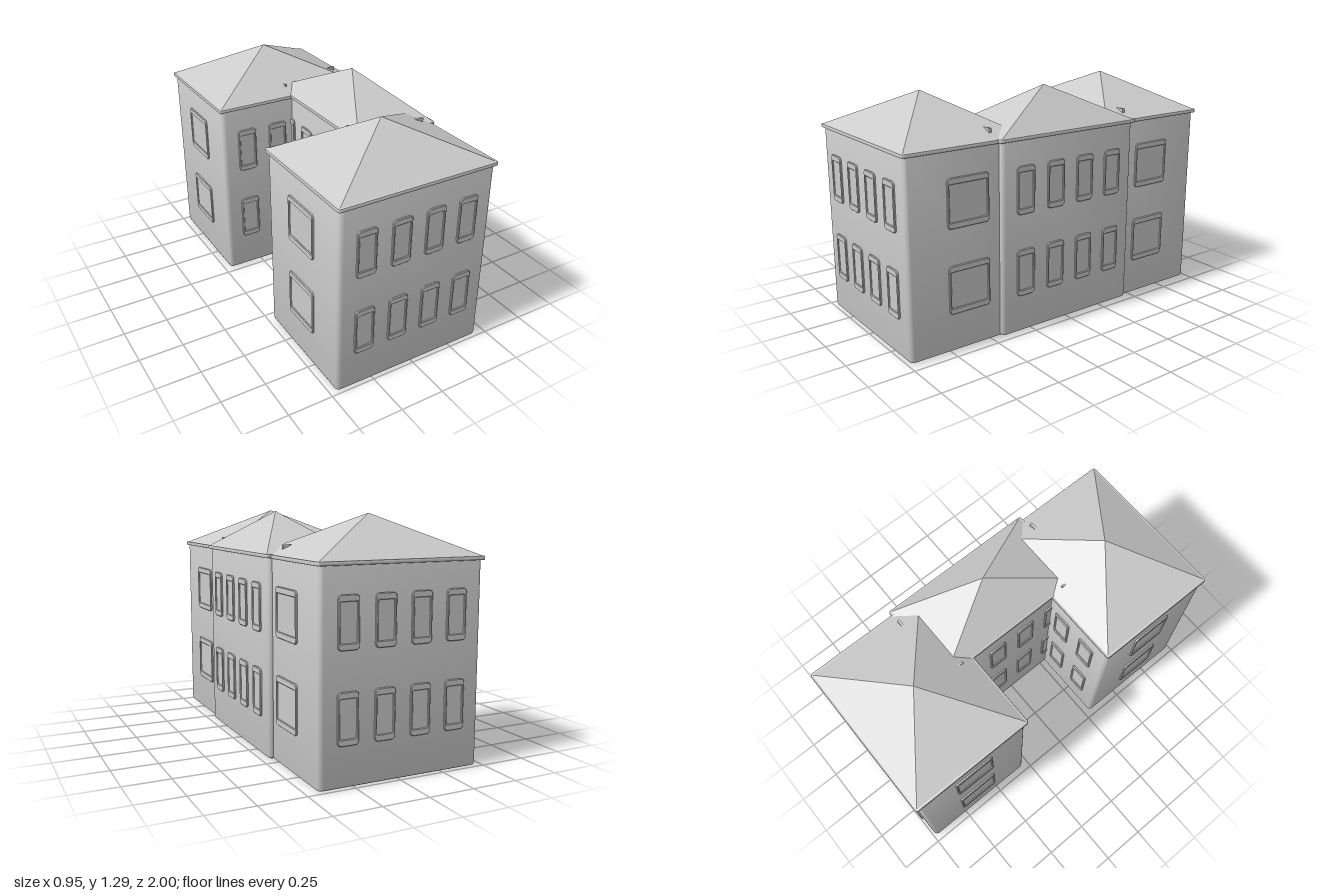
import * as THREE from 'three';
import { toCreasedNormals } from 'three/addons/utils/BufferGeometryUtils.js';

const material = new THREE.MeshStandardMaterial({ color: 0xcccccc });
const ROWS = [0.34, 0.795];      // window centre heights
const EAVE = 1.075, APEX = 1.287;

function part(name, geometry, parent) {
  const mesh = new THREE.Mesh(geometry, material);
  mesh.name = name;
  parent.add(mesh);
  return mesh;
}

function roundedRect(w, h, r, Type = THREE.Shape) {
  const s = new Type(), x = w / 2, y = h / 2;
  s.moveTo(-x + r, -y);
  s.lineTo(x - r, -y);
  s.absarc(x - r, -y + r, r, -Math.PI / 2, 0);
  s.lineTo(x, y - r);
  s.absarc(x - r, y - r, r, 0, Math.PI / 2);
  s.lineTo(-x + r, y);
  s.absarc(-x + r, y - r, r, Math.PI / 2, Math.PI);
  s.lineTo(-x, -y + r);
  s.absarc(-x + r, -y + r, r, Math.PI, Math.PI * 1.5);
  return s;
}

// Upright slab with rounded corners and bevelled rims, from y0 to y1
function slab(w, d, y0, y1, r, bevel, inset) {
  const g = new THREE.ExtrudeGeometry(roundedRect(w, d, r), {
    depth: y1 - y0 - 2 * bevel, bevelEnabled: true, bevelThickness: bevel,
    bevelSize: inset, bevelOffset: -inset, bevelSegments: 2, curveSegments: 4,
  });
  g.rotateX(-Math.PI / 2).translate(0, y0 + bevel, 0);
  return toCreasedNormals(g, 0.6);
}

// Raised frame around a recessed pane, facing +z
function windowUnit(w) {
  const group = new THREE.Group();
  group.name = 'window';
  const shape = roundedRect(w, 0.26, 0.02);
  shape.holes.push(roundedRect(w - 0.024, 0.194, 0.002, THREE.Path));
  const frame = new THREE.ExtrudeGeometry(shape, {
    depth: 0.009, bevelEnabled: true, bevelThickness: 0.003, bevelSize: 0.003,
    bevelOffset: -0.003, bevelSegments: 1, curveSegments: 3,
  });
  frame.translate(0, 0, -0.002);
  part('windowFrame', toCreasedNormals(frame, 0.6), group);
  part('windowPane', new THREE.BoxGeometry(w - 0.02, 0.2, 0.006), group);
  return group;
}

// Pavilion with four windows on each long face and one wide one on each end
function block(name, w, d, endWindows) {
  const group = new THREE.Group();
  group.name = name;
  part('walls', slab(w, d, 0, 1.07, 0.025, 0.018, 0.015), group);
  part('eaves', slab(w + 0.025, d + 0.025, 1.058, EAVE + 0.004, 0.015, 0.005, 0.005), group);

  const roof = new THREE.ConeGeometry(Math.SQRT1_2, 1, 4, 1, true).toNonIndexed();
  roof.rotateY(Math.PI / 4).translate(0, 0.5, 0);
  roof.scale(w + 0.016, APEX - EAVE, d + 0.016).translate(0, EAVE, 0);
  roof.computeVertexNormals();
  part('hippedRoof', roof, group);

  for (let side = 0; side < 4; side++) {
    const long = side % 2 === 0;
    if (!long && !endWindows) continue;
    const face = new THREE.Group();
    face.name = long ? 'longFaceWindows' : 'endFaceWindows';
    face.rotation.y = side * Math.PI / 2;
    for (const y of ROWS) for (const x of long ? [-0.3, -0.1, 0.1, 0.3] : [0]) {
      const unit = windowUnit(long ? 0.113 : 0.245);
      unit.position.set(x, y, (long ? d : w) / 2);
      face.add(unit);
    }
    group.add(face);
  }
  return group;
}

export function createModel() {
  const model = new THREE.Group();
  model.name = 'building';

  // Front and back wings
  for (const s of [1, -1]) {
    const wing = block(s > 0 ? 'frontWing' : 'backWing', 0.905, 0.7, true);
    wing.position.set(-0.0125, 0, s * 0.635);
    model.add(wing);

    // Small ends poking out of the wing roofs next to the connecting wing
    const outer = part('roofRidgeEnd', new THREE.BoxGeometry(0.07, 0.06, 0.014), model);
    outer.position.set(0.35, 1.098, s * 0.46);
    const inner = part('roofStub', new THREE.BoxGeometry(0.01, 0.06, 0.03), model);
    inner.position.set(-0.018, 1.098, s * 0.355);
  }

  // Connecting wing, turned sideways
  const middle = block('connectingWing', 0.9, 0.475, false);
  middle.rotation.y = Math.PI / 2;
  middle.position.set(0.2275, 0.003, -0.004);
  model.add(middle);
  return model;
}
